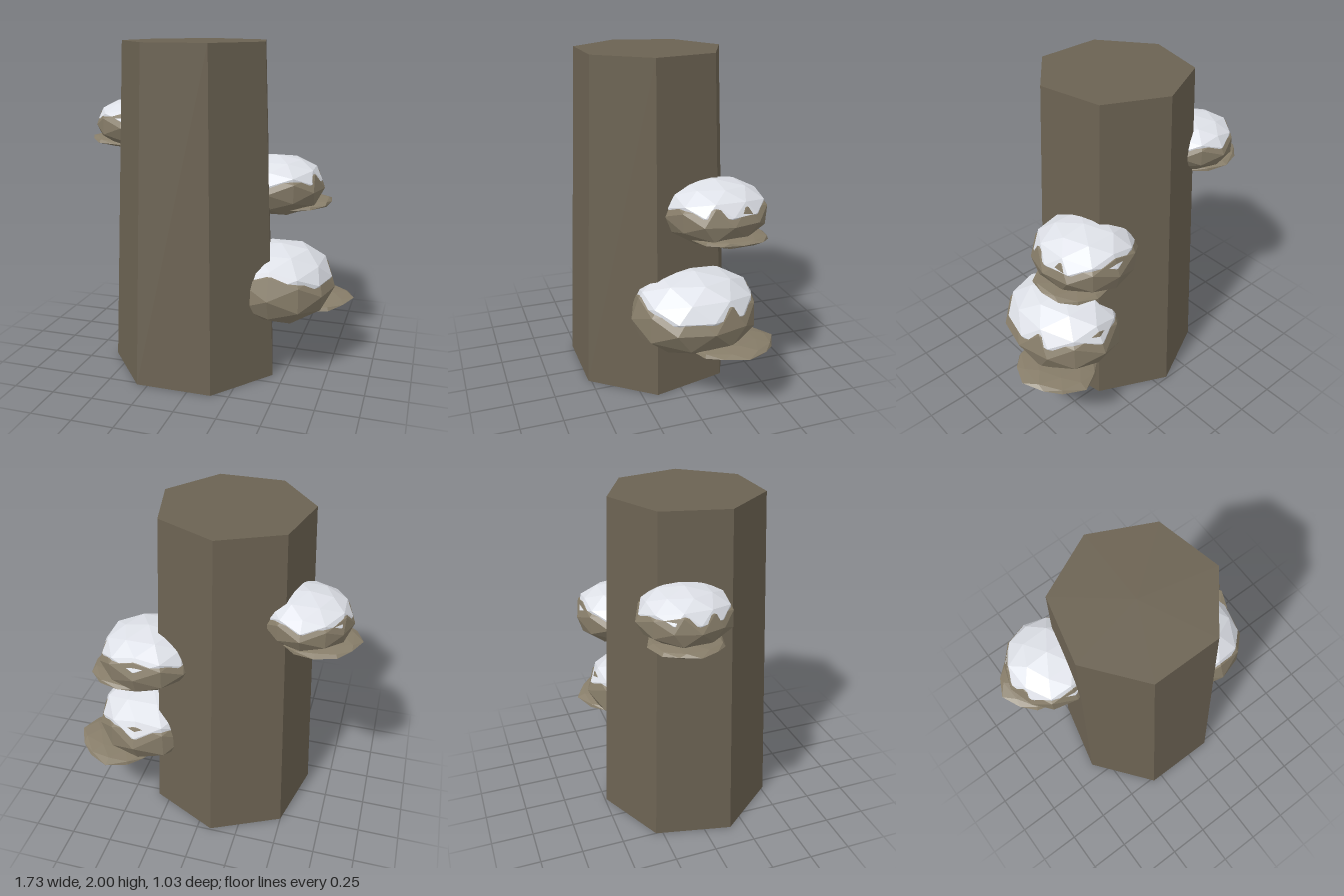
import * as THREE from 'three';

const mat = (name, color) => {
  const m = new THREE.MeshStandardMaterial({ color, flatShading: true });
  m.name = name;
  return m;
};

// Low-poly ellipsoid with a small repeatable wobble, same for shared corners
function blob(name, material, center, radii, seed, wobble = 0.04) {
  const geo = new THREE.IcosahedronGeometry(1, 1);
  const p = geo.attributes.position;
  const v = new THREE.Vector3();
  for (let i = 0; i < p.count; i++) {
    v.fromBufferAttribute(p, i);
    const n = Math.sin(v.x * 5.3 + seed) * Math.cos(v.y * 4.1 - seed * 2) + Math.sin(v.z * 6.7 + seed * 3);
    v.multiplyScalar(1 + wobble * 0.5 * n);
    p.setXYZ(i, v.x * radii[0], v.y * radii[1], v.z * radii[2]);
  }
  geo.computeVertexNormals();
  const mesh = new THREE.Mesh(geo, material);
  mesh.name = name;
  mesh.position.set(...center);
  return mesh;
}

export function createModel() {
  const bark = mat('bark', 0x6b6252);
  const fungus = mat('fungus', 0x877d69);
  const snow = mat('snow', 0xe4e7ee);
  const model = new THREE.Group();
  model.name = 'snowyTrunk';

  // Seven-sided tapered trunk with one corner at the back
  const trunk = new THREE.Mesh(new THREE.CylinderGeometry(0.444, 0.531, 2, 7), bark);
  trunk.name = 'trunk';
  trunk.rotation.y = Math.PI;
  trunk.position.set(-0.085, 1, 0.04);
  model.add(trunk);

  // Bracket fungi: rounded body, snow cap, thin lip tilted outward below
  const brackets = [
    { name: 'lowerBracket', c: [0.42, 0.535, -0.07], r: [0.34, 0.24, 0.39],
      lip: [0.6, 0.385, -0.23], lipR: [0.25, 0.035, 0.25], tilt: 0.1 },
    { name: 'middleBracket', c: [0.36, 1.115, -0.21], r: [0.3, 0.185, 0.31],
      lip: [0.48, 1.0, -0.25], lipR: [0.23, 0.03, 0.23], tilt: 0.1 },
    { name: 'upperBracket', c: [-0.55, 1.475, -0.135], r: [0.26, 0.155, 0.265],
      lip: [-0.63, 1.36, -0.16], lipR: [0.23, 0.03, 0.2], tilt: -0.08 },
  ];
  brackets.forEach(({ name, c, r, lip, lipR, tilt }, i) => {
    const g = new THREE.Group();
    g.name = name;
    g.add(blob('body', fungus, c, r, i + 1));
    g.add(blob('snowCap', snow, [c[0], c[1] + r[1] * 0.26, c[2]],
      [r[0] * 0.94, r[1] * 0.77, r[2] * 0.94], i + 1, 0.03));
    const plate = blob('lip', fungus, lip, lipR, i + 5, 0.08);
    plate.rotation.z = tilt;
    g.add(plate);
    model.add(g);
  });
  return model;
}
